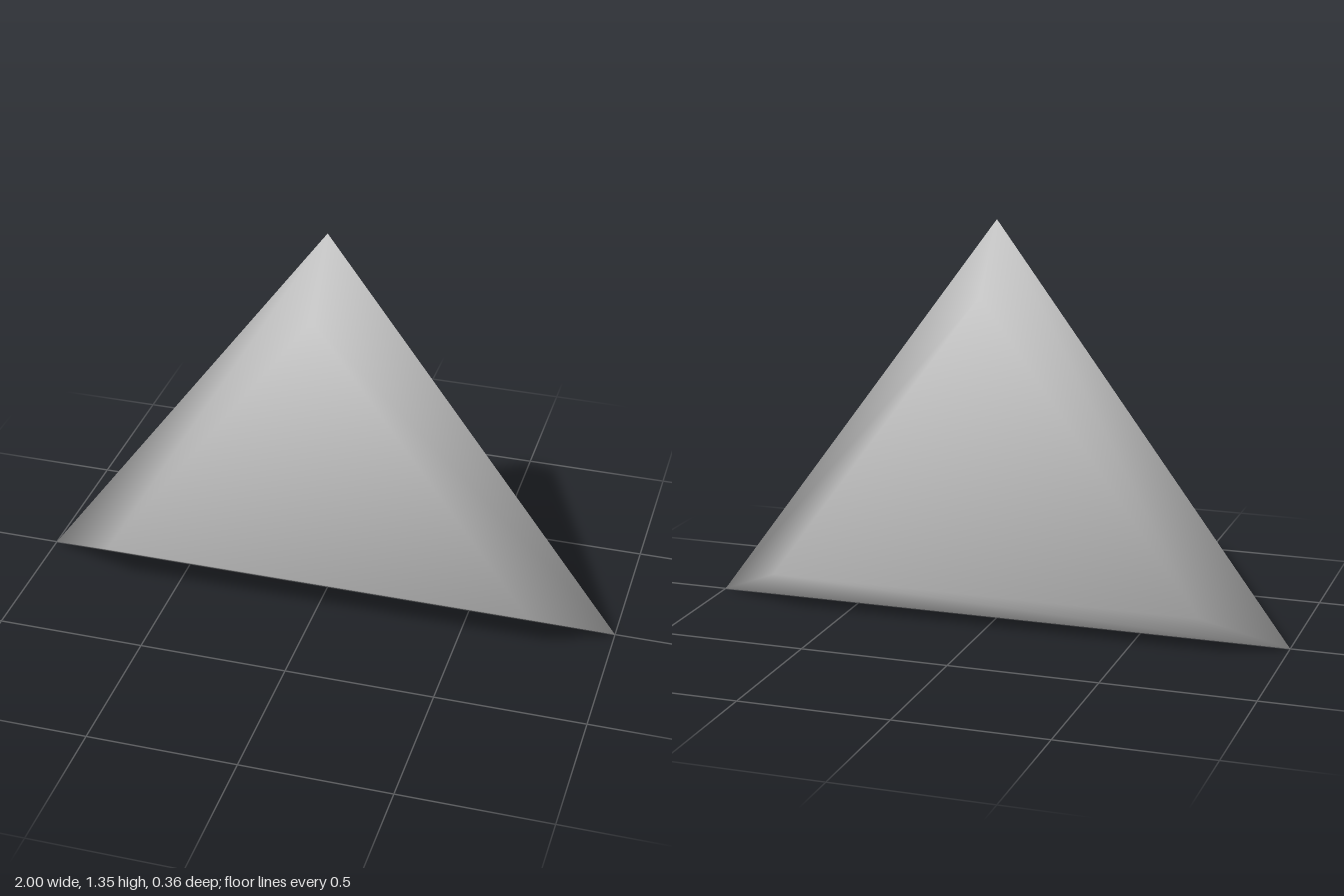
import * as THREE from 'three';

// Triangular slab with wide bevels meeting at a sharp mid-plane rim, smooth shaded.
const HALF_DEPTH = 0.178;
const rim = [[1, 0], [0, 1.352], [-1, 0]];
const cap = [[0.737, 0.132], [0, 1.129], [-0.737, 0.132]];

function createWedgeGeometry() {
  const points = [
    ...rim.map(([x, y]) => new THREE.Vector3(x, y, 0)),
    ...cap.map(([x, y]) => new THREE.Vector3(x, y, HALF_DEPTH)),
    ...cap.map(([x, y]) => new THREE.Vector3(x, y, -HALF_DEPTH)),
  ];

  // Flat caps, then two triangles per bevel on each side
  const index = [3, 4, 5, 8, 7, 6];
  for (let i = 0; i < 3; i++) {
    const j = (i + 1) % 3;
    index.push(i, j, 3 + j, i, 3 + j, 3 + i);
    index.push(j, i, 6 + j, 6 + j, i, 6 + i);
  }

  // Smooth normals, each face weighted by its corner angle
  const normals = points.map(() => new THREE.Vector3());
  for (let t = 0; t < index.length; t += 3) {
    const tri = index.slice(t, t + 3);
    for (let k = 0; k < 3; k++) {
      const p = points[tri[k]];
      const e1 = points[tri[(k + 1) % 3]].clone().sub(p);
      const e2 = points[tri[(k + 2) % 3]].clone().sub(p);
      const n = e1.clone().cross(e2).normalize();
      normals[tri[k]].addScaledVector(n, e1.angleTo(e2));
    }
  }
  normals.forEach((n) => n.normalize());

  const geometry = new THREE.BufferGeometry().setFromPoints(points);
  geometry.setAttribute('normal',
    new THREE.Float32BufferAttribute(normals.flatMap((n) => n.toArray()), 3));
  geometry.setIndex(index);
  return geometry;
}

export function createModel() {
  const grey = new THREE.MeshStandardMaterial({ color: 0xcccccc });
  grey.name = 'light grey';

  const wedge = new THREE.Mesh(createWedgeGeometry(), grey);
  wedge.name = 'bevelledTriangle';

  const model = new THREE.Group();
  model.name = 'triangleBlock';
  model.add(wedge);
  return model;
}
